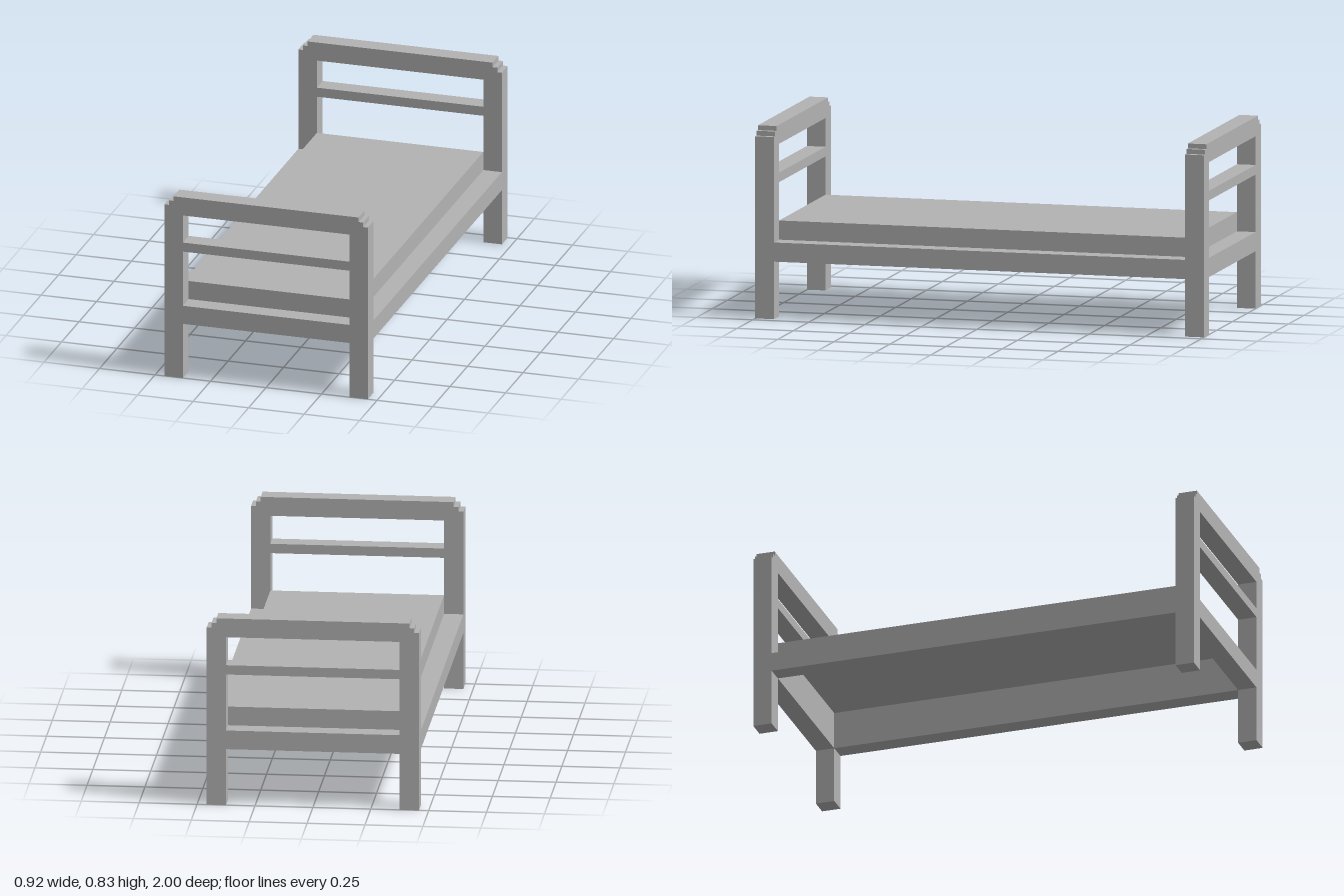
import * as THREE from 'three';

const U = 1 / 24; // half the thickness of the timber
const HALF_W = 11 * U, INNER_X = 9 * U; // outer and inner faces of the posts
const INNER_Z = 22 * U; // inner face of the end panels
const RAIL_LOW = 6 * U, RAIL_TOP = 8 * U, BED_TOP = 10 * U;

const grey = new THREE.MeshStandardMaterial({ color: 0xb3b3b3 });
grey.name = 'plain grey';
grey.side = THREE.DoubleSide;

function mesh(name, geometry, x = 0, y = 0, z = 0) {
  const m = new THREE.Mesh(geometry, grey);
  m.name = name;
  m.position.set(x, y, z);
  return m;
}

// Rectangular opening between the posts
function opening(low, high) {
  return new THREE.Path([
    new THREE.Vector2(-INNER_X, low), new THREE.Vector2(-INNER_X, high),
    new THREE.Vector2(INNER_X, high), new THREE.Vector2(INNER_X, low),
  ]);
}

// End panel: two legs, stepped top corners and two openings
function endPanelGeometry() {
  const half = [
    [INNER_X, RAIL_LOW], [INNER_X, 0], [HALF_W, 0], [HALF_W, 19 * U],
    [10.5 * U, 19 * U], [10.5 * U, 19.5 * U], [10 * U, 19.5 * U], [10 * U, 20 * U],
  ];
  const mirrored = half.map(([x, y]) => [-x, y]).reverse();
  const shape = new THREE.Shape([...half, ...mirrored].map(([x, y]) => new THREE.Vector2(x, y)));
  shape.holes.push(opening(RAIL_TOP, 14 * U), opening(15 * U, 18 * U));
  return new THREE.ExtrudeGeometry(shape, { depth: 2 * U, bevelEnabled: false });
}

// Hollow mattress shell, open underneath
function mattressGeometry() {
  const box = new THREE.BoxGeometry(2 * INNER_X, BED_TOP - RAIL_TOP, 2 * INNER_Z);
  const index = Array.from(box.index.array);
  index.splice(18, 6); // bottom face
  box.setIndex(index);
  box.clearGroups();
  return box;
}

export function createModel() {
  const bed = new THREE.Group();
  bed.name = 'bed';

  // Matching head and foot panels
  const panel = endPanelGeometry();
  bed.add(mesh('footPanel', panel, 0, 0, INNER_Z));
  bed.add(mesh('headPanel', panel, 0, 0, -1));

  // Side rails
  const rail = new THREE.BoxGeometry(2 * U, RAIL_TOP - RAIL_LOW, 2 * INNER_Z);
  for (const [name, side] of [['leftRail', 1], ['rightRail', -1]]) {
    bed.add(mesh(name, rail, side * 10 * U, (RAIL_LOW + RAIL_TOP) / 2, 0));
  }

  bed.add(mesh('mattress', mattressGeometry(), 0, (RAIL_TOP + BED_TOP) / 2, 0));
  return bed;
}
